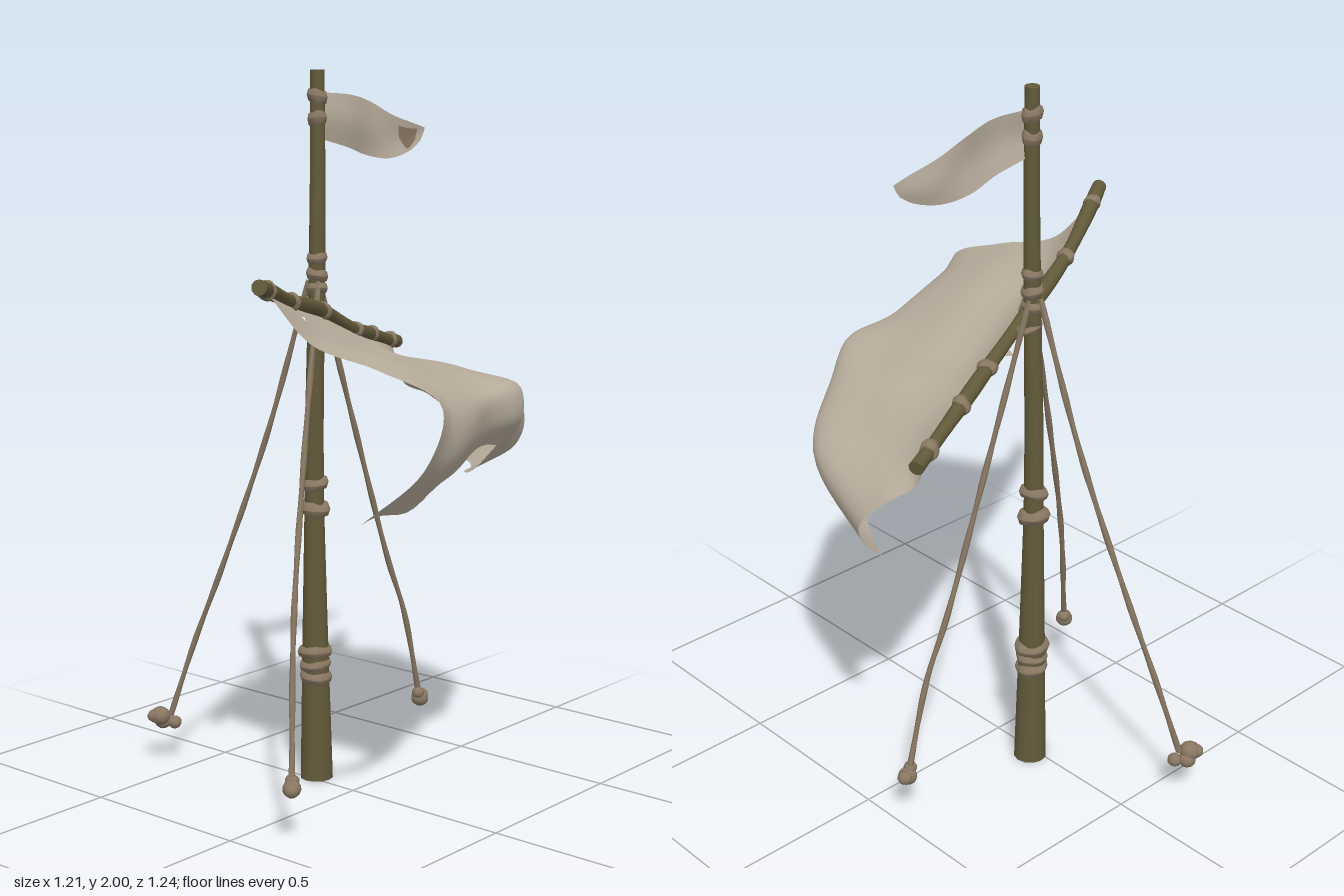
import * as THREE from 'three';
import { toCreasedNormals } from 'three/addons/utils/BufferGeometryUtils.js';

const wood = new THREE.MeshStandardMaterial({ color: 0x625a3a });
wood.name = 'olive wood';
const rope = new THREE.MeshStandardMaterial({ color: 0x887762 });
rope.name = 'rope brown';
const cloth = new THREE.MeshStandardMaterial({ color: 0xb8ad9c, side: THREE.DoubleSide });
cloth.name = 'faded cloth';
const patchMat = new THREE.MeshStandardMaterial({ color: 0x887762, side: THREE.DoubleSide });
patchMat.name = 'patch brown';

const V = (p) => new THREE.Vector3(...p);
const curveOf = (pts) => new THREE.CatmullRomCurve3(pts.map(V), false, 'centripetal');

function add(parent, name, geometry, material) {
  const mesh = new THREE.Mesh(geometry, material);
  mesh.name = name;
  parent.add(mesh);
  return mesh;
}

// Closed round limb along a curve; radius is a function of the fraction t
function limb(curve, radius, rings, sides) {
  const geo = new THREE.TubeGeometry(curve, rings, 1, sides, false);
  const pos = geo.attributes.position, v = new THREE.Vector3();
  for (let i = 0; i <= rings; i++) {
    const centre = curve.getPointAt(i / rings);
    const t = THREE.MathUtils.clamp((i - 1) / (rings - 2), 0, 1);
    const target = curve.getPointAt(t);
    const r = i === 0 || i === rings ? 0 : radius(t);
    for (let j = 0; j <= sides; j++) {
      const k = i * (sides + 1) + j;
      v.fromBufferAttribute(pos, k).sub(centre).multiplyScalar(r).add(target);
      pos.setXYZ(k, v.x, v.y, v.z);
    }
  }
  return toCreasedNormals(geo, 0.9);
}

// Lumpy rope ring around a pole; height is half its length along the pole
function wrap(parent, name, at, axis, radius, tube, height, seed) {
  const geo = new THREE.TorusGeometry(radius, tube, 8, 18);
  const pos = geo.attributes.position;
  for (let i = 0; i < pos.count; i++) {
    const a = Math.atan2(pos.getY(i), pos.getX(i));
    const s = 1 + 0.06 * Math.sin(2 * a + seed) + 0.03 * Math.sin(5 * a + seed);
    const z = pos.getZ(i) * (height / tube) * (1 + 0.15 * Math.sin(3 * a + seed));
    pos.setXYZ(i, pos.getX(i) * s, pos.getY(i) * s, z + 0.004 * Math.sin(a + seed * 2));
  }
  geo.computeVertexNormals();
  const mesh = add(parent, name, geo, rope);
  mesh.position.copy(at);
  mesh.quaternion.setFromUnitVectors(new THREE.Vector3(0, 0, 1), axis);
}

// Smooth sheet through a grid of control points, given as columns
function sheet(columns, nu, nv, ripple, skip = () => false) {
  const curves = columns.map(curveOf);
  const verts = [], index = [];
  for (let j = 0; j <= nv; j++) {
    const row = new THREE.CatmullRomCurve3(curves.map((c) => c.getPoint(j / nv)));
    for (let i = 0; i <= nu; i++) {
      const p = row.getPoint(i / nu).add(ripple(i / nu, j / nv));
      verts.push(p.x, p.y, p.z);
    }
  }
  for (let j = 0; j < nv; j++) for (let i = 0; i < nu; i++) {
    const a = j * (nu + 1) + i, b = a + 1, c = a + nu + 1, d = c + 1;
    if (!skip(i, j)) index.push(a, c, b);
    index.push(b, c, d);
  }
  const geo = new THREE.BufferGeometry();
  geo.setAttribute('position', new THREE.Float32BufferAttribute(verts, 3));
  geo.setIndex(index);
  geo.computeVertexNormals();
  return geo;
}

export function createModel() {
  const model = new THREE.Group();
  model.name = 'mastWithSail';

  // Mast with rope bindings
  const mastCurve = curveOf([[0.021, 0, -0.155], [0.016, 0.5, -0.155], [0.012, 1, -0.152],
    [0.01, 1.45, -0.139], [0.018, 1.75, -0.142], [0.023, 2, -0.147]]);
  const mastR = (t) => (t < 0.4 ? 0.047 - 0.0475 * t : 0.028 - 0.014 * (t - 0.4));
  add(model, 'mast', limb(mastCurve, mastR, 30, 12), wood);
  const bindings = new THREE.Group();
  bindings.name = 'mastBindings';
  model.add(bindings);
  [[0.303, 0.013, 0.017], [0.338, 0.011, 0.015], [0.374, 0.014, 0.018], [0.79, 0.019, 0.022], [0.862, 0.015, 0.018],
    [1.41, 0.011, 0.015], [1.448, 0.013, 0.017], [1.495, 0.011, 0.016], [1.87, 0.01, 0.02], [1.93, 0.011, 0.02],
  ].forEach(([y, tube, height], i) => {
    const t = y / 2;
    wrap(bindings, 'mastBinding', mastCurve.getPointAt(t), mastCurve.getTangentAt(t), mastR(t) - 0.004, tube, height, i);
  });

  // Slanted yard with bindings at its joints
  const joints = [[-0.6, 1.485, 0.215], [-0.52, 1.468, 0.165], [-0.28, 1.41, 0.03], [-0.04, 1.358, -0.075],
    [0.17, 1.28, -0.14], [0.32, 1.248, -0.205], [0.49, 1.208, -0.275], [0.56, 1.195, -0.305]];
  const yardCurve = curveOf(joints);
  add(model, 'yard', limb(yardCurve, (t) => 0.02 + 0.002 * Math.sin(t * 19), 30, 10), wood);
  joints.slice(1, -1).forEach((p, i) => {
    const axis = yardCurve.getTangent((i + 1) / (joints.length - 1));
    wrap(model, 'yardBinding', V(p), axis, 0.014, 0.012, 0.018, i);
  });

  // Lashing that ties the yard to the mast
  wrap(model, 'yardLashing', V([0.012, 1.345, -0.13]), V([0.3, 0.85, 0.2]).normalize(), 0.03, 0.008, 0.01, 1);

  // Billowing sail, each column running from the yard to the hem
  const sailColumns = [
    [[-0.53, 1.455, 0.185], [-0.485, 1.34, 0.28], [-0.43, 1.285, 0.45], [-0.39, 1.21, 0.61], [-0.42, 1.06, 0.585], [-0.475, 0.91, 0.43]],
    [[-0.3, 1.4, 0.045], [-0.29, 1.325, 0.14], [-0.28, 1.29, 0.34], [-0.28, 1.2, 0.55], [-0.27, 1.07, 0.565], [-0.28, 0.94, 0.46]],
    [[-0.08, 1.35, -0.06], [-0.07, 1.27, 0.07], [-0.06, 1.24, 0.28], [-0.04, 1.18, 0.475], [-0.03, 1.1, 0.48], [-0.04, 1.02, 0.43]],
    [[0.12, 1.29, -0.125], [0.12, 1.225, 0.01], [0.14, 1.215, 0.22], [0.16, 1.18, 0.42], [0.17, 1.1, 0.44], [0.17, 1.02, 0.38]],
    [[0.27, 1.245, -0.18], [0.27, 1.2, -0.05], [0.29, 1.19, 0.15], [0.31, 1.12, 0.34], [0.28, 1.0, 0.33], [0.23, 0.905, 0.21]],
    [[0.4, 1.215, -0.235], [0.4, 1.135, -0.13], [0.43, 1.085, 0.03], [0.47, 1.03, 0.21], [0.46, 0.96, 0.2], [0.4, 0.89, 0.1]],
    [[0.5, 1.185, -0.27], [0.49, 1.085, -0.22], [0.56, 1.045, -0.18], [0.6, 0.98, -0.13], [0.585, 0.92, -0.12], [0.54, 0.865, -0.14]],
  ];
  const sailRipple = (u, v) => {
    const w = 0.007 * Math.sin(Math.PI * v) * Math.sin(Math.PI * u);
    const hem = 0.008 * v ** 6 * Math.sin(38 * u);
    return new THREE.Vector3(0, w * Math.sin(16 * v + 7 * u) + hem, w * Math.sin(21 * u + 5 * v));
  };
  add(model, 'sail', sheet(sailColumns, 48, 36, sailRipple, (i, j) => i === 9 && j === 2), cloth);

  // Pennant at the masthead
  const flagColumns = [
    [[0.03, 1.94, -0.14], [0.03, 1.875, -0.13], [0.03, 1.815, -0.14]],
    [[0.13, 1.933, -0.12], [0.13, 1.86, -0.115], [0.13, 1.79, -0.13]],
    [[0.23, 1.912, -0.13], [0.23, 1.84, -0.125], [0.22, 1.765, -0.135]],
    [[0.31, 1.876, -0.12], [0.31, 1.81, -0.125], [0.3, 1.755, -0.12]],
    [[0.39, 1.852, -0.11], [0.39, 1.81, -0.115], [0.38, 1.775, -0.11]],
    [[0.445, 1.838, -0.11], [0.438, 1.822, -0.11], [0.425, 1.802, -0.11]],
  ];
  const still = () => new THREE.Vector3();
  add(model, 'pennant', sheet(flagColumns, 24, 8, still), cloth);

  // Dark patch near the pennant's tip
  const patchColumns = [
    [[0.33, 1.845, -0.113], [0.33, 1.825, -0.114], [0.335, 1.81, -0.114]],
    [[0.365, 1.838, -0.109], [0.365, 1.81, -0.111], [0.365, 1.78, -0.109]],
    [[0.405, 1.835, -0.105], [0.4, 1.82, -0.106], [0.395, 1.805, -0.105]],
  ];
  add(model, 'pennantPatch', sheet(patchColumns, 6, 4, still), patchMat);

  // Stay ropes, each ending in a knot of a few lumps
  const stays = [
    { path: [[0, 1.43, -0.125], [-0.15, 0.98, -0.045], [-0.29, 0.55, 0.04], [-0.4, 0.15, 0.13]],
      lumps: [[0, -0.003, 0, 0.026], [0.01, 0.014, -0.008, 0.02], [-0.012, -0.004, 0.01, 0.021]] },
    { path: [[0.005, 1.43, -0.165], [-0.035, 1.0, -0.285], [-0.085, 0.6, -0.42], [-0.115, 0.36, -0.51], [-0.155, 0.14, -0.57]],
      lumps: [[-0.025, 0, -0.018, 0.03], [0.012, -0.024, 0.004, 0.021], [-0.01, -0.02, -0.022, 0.025], [-0.037, 0, -0.03, 0.021]] },
    { path: [[0.025, 1.43, -0.145], [0.17, 1.02, -0.145], [0.325, 0.58, -0.14], [0.385, 0.42, -0.13], [0.46, 0.14, -0.13]],
      lumps: [[0.004, -0.006, 0, 0.027], [-0.01, 0.014, 0.004, 0.019], [0.02, 0, -0.008, 0.021]] },
  ];
  stays.forEach(({ path, lumps }) => {
    const stay = new THREE.Group();
    stay.name = 'stay';
    model.add(stay);
    add(stay, 'stayRope', limb(curveOf(path), (t) => 0.008 + 0.001 * Math.sin(t * 40), 40, 7), rope);
    const end = V(path[path.length - 1]);
    lumps.forEach(([x, y, z, r]) => {
      const lump = add(stay, 'stayKnot', new THREE.SphereGeometry(r, 10, 7), rope);
      lump.position.copy(end).add(new THREE.Vector3(x, y, z));
      lump.scale.y = 0.9;
    });
  });

  return model;
}
